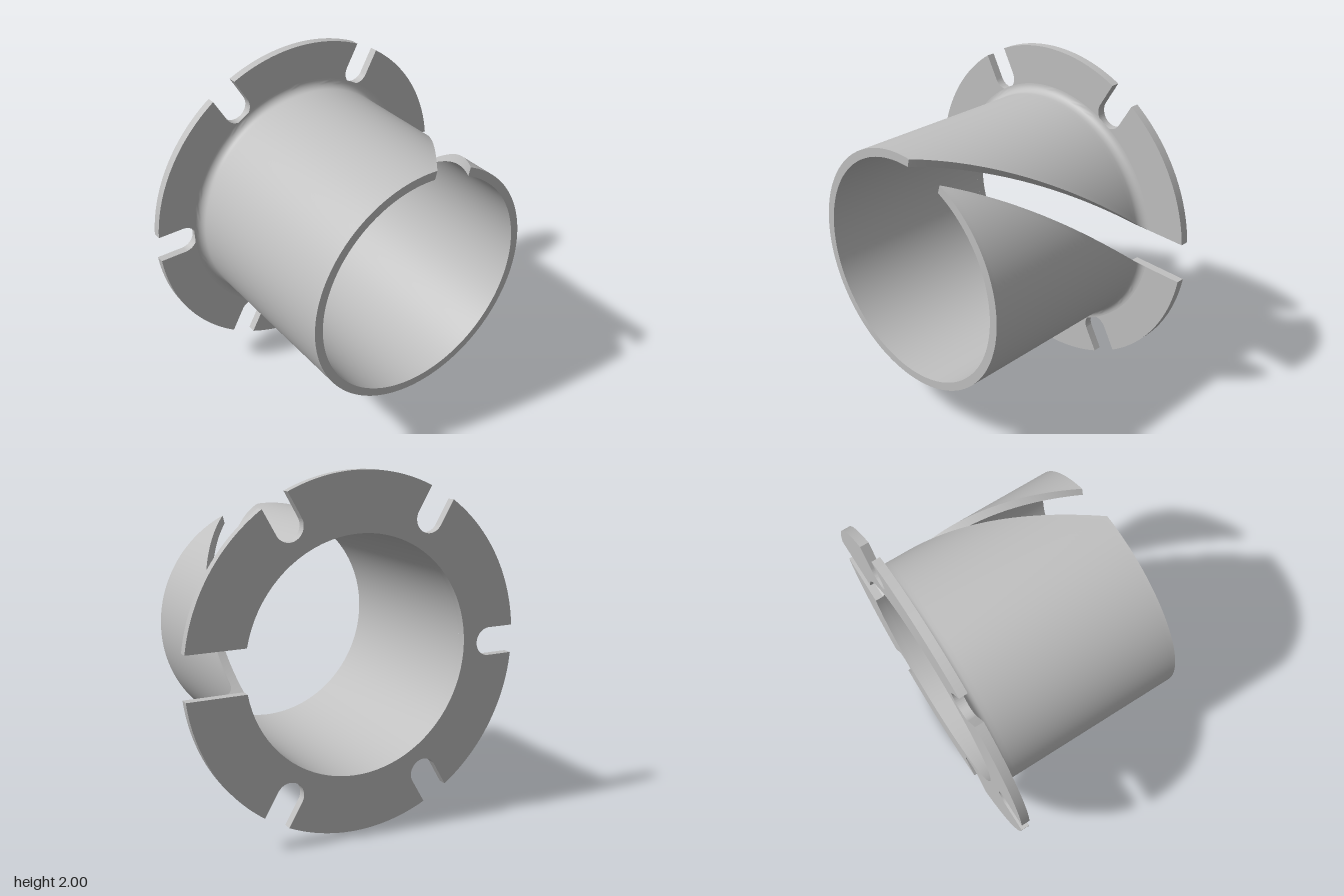
import * as THREE from 'three';
import { toCreasedNormals } from 'three/addons/utils/BufferGeometryUtils.js';

const OUTER = 0.72, INNER = 0.67, RIM = 1;
const BACK = -0.61, FACE = -0.56, FRONT = 0.61;
const FILLET = 0.05, HALF_GAP = 0.122, TWIST = THREE.MathUtils.degToRad(75);

// Flange outline: a C-shaped ring with round-ended bolt slots every 60 degrees
function flangeGeometry() {
  const slotHalf = 0.082, slotCentre = 0.84;
  const gapRim = Math.asin(HALF_GAP / RIM), gapBore = Math.asin(HALF_GAP / INNER);
  const slotRim = Math.asin(slotHalf / RIM);
  const shape = new THREE.Shape();
  shape.moveTo(INNER * Math.cos(gapBore), HALF_GAP);
  shape.lineTo(RIM * Math.cos(gapRim), HALF_GAP);
  let from = gapRim;
  for (let k = 1; k <= 5; k++) {
    const a = k * Math.PI / 3;
    shape.absarc(0, 0, RIM, from, a - slotRim, false);
    shape.absarc(slotCentre * Math.cos(a), slotCentre * Math.sin(a), slotHalf,
      a - Math.PI / 2, a - 3 * Math.PI / 2, true);
    from = a + slotRim;
    shape.lineTo(RIM * Math.cos(from), RIM * Math.sin(from));
  }
  shape.absarc(0, 0, RIM, from, 2 * Math.PI - gapRim, false);
  shape.lineTo(INNER * Math.cos(gapBore), -HALF_GAP);
  shape.absarc(0, 0, INNER, 2 * Math.PI - gapBore, gapBore, true);
  const geo = new THREE.ExtrudeGeometry(shape, { depth: FACE - BACK, bevelEnabled: false, curveSegments: 40 });
  geo.translate(0, 0, BACK);
  return toCreasedNormals(geo, 0.5);
}

// Tube wall with a flared root, split by a parallel-sided helical gap
function sleeveGeometry() {
  const outer = [], cols = 128;
  for (let i = 0; i <= 8; i++) {
    const t = i / 8 * Math.PI / 2;
    outer.push([OUTER + FILLET * (1 - Math.sin(t)), FACE + FILLET * (1 - Math.cos(t))]);
  }
  const root = FACE + FILLET;
  for (let i = 1; i <= 40; i++) outer.push([OUTER, root + (FRONT - root) * i / 40]);
  const n = outer.length;
  const profile = [...outer, ...outer.map(([, z]) => [INNER, z]).reverse()];

  const pos = [], index = [];
  for (const [r, z] of profile) {
    const centre = TWIST * (z - FACE) / (FRONT - FACE);
    const gap = Math.asin(HALF_GAP / r);
    for (let j = 0; j <= cols; j++) {
      const a = centre + gap + (2 * Math.PI - 2 * gap) * j / cols;
      pos.push(r * Math.cos(a), r * Math.sin(a), z);
    }
  }
  const id = (i, j) => i * (cols + 1) + j;
  const quad = (a, b, c, d) => index.push(a, b, c, a, c, d);
  // outside, front lip and bore
  for (let i = 0; i < profile.length - 1; i++)
    for (let j = 0; j < cols; j++)
      quad(id(i, j), id(i, j + 1), id(i + 1, j + 1), id(i + 1, j));
  // the two walls of the helical gap
  for (let k = 0; k < n - 1; k++) {
    const bore = 2 * n - 1 - k;
    quad(id(bore, 0), id(k, 0), id(k + 1, 0), id(bore - 1, 0));
    quad(id(k, cols), id(bore, cols), id(bore - 1, cols), id(k + 1, cols));
  }
  const geo = new THREE.BufferGeometry();
  geo.setAttribute('position', new THREE.Float32BufferAttribute(pos, 3));
  geo.setIndex(index);
  return toCreasedNormals(geo, 0.6);
}

export function createModel() {
  const grey = new THREE.MeshStandardMaterial({ color: 0xc0c0c0 });
  grey.name = 'plainGrey';
  const model = new THREE.Group();
  model.name = 'slottedFlangeSleeve';
  for (const [name, geo] of [['flange', flangeGeometry()], ['sleeve', sleeveGeometry()]]) {
    const mesh = new THREE.Mesh(geo, grey);
    mesh.name = name;
    mesh.position.y = RIM;
    model.add(mesh);
  }
  return model;
}
